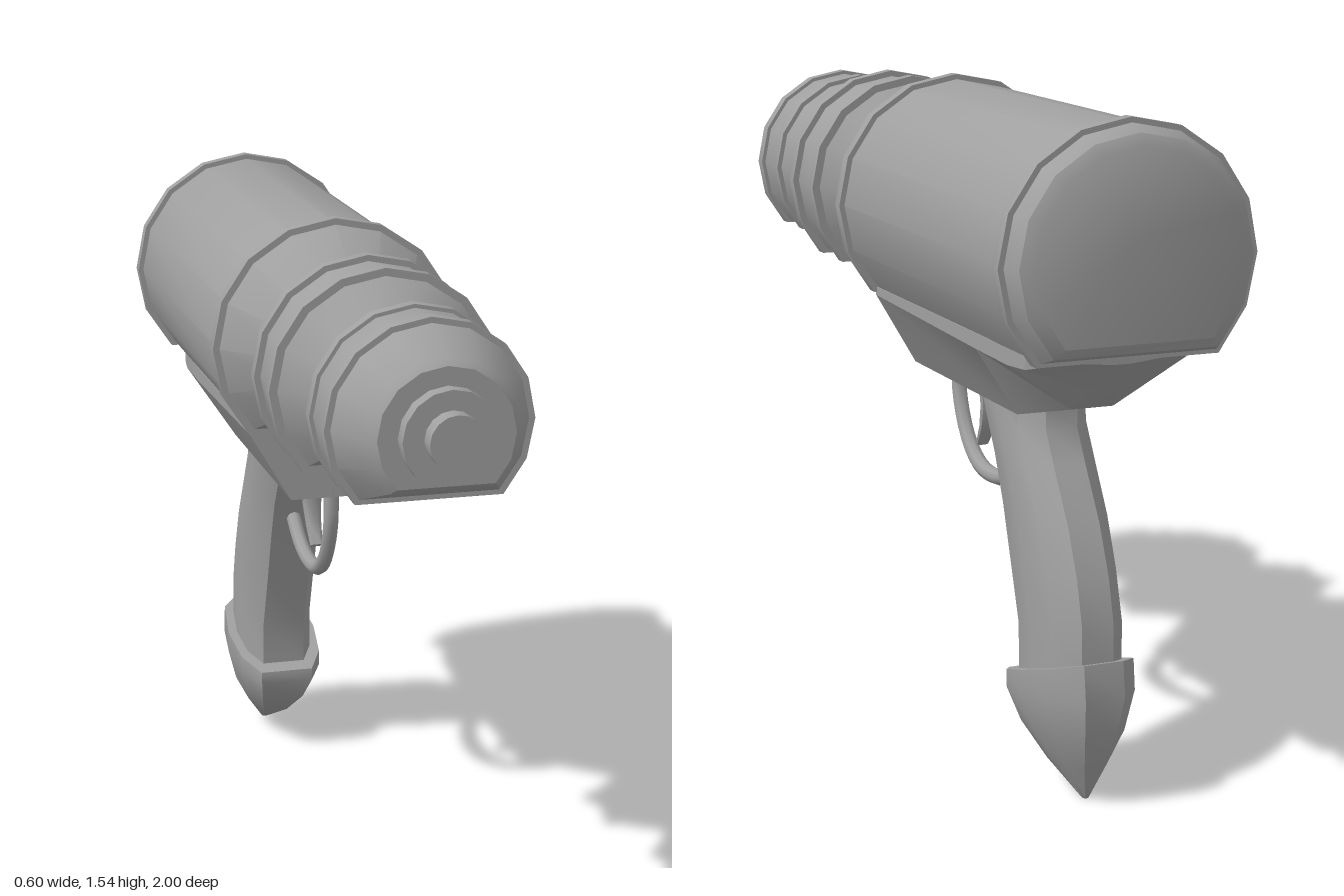
import * as THREE from 'three';
import { toCreasedNormals } from 'three/addons/utils/BufferGeometryUtils.js';

const V = (x, y, z) => new THREE.Vector3(x, y, z);

// Skin a closed, capped solid over rings that all have the same point count
function loft(rings, crease) {
  const tris = [];
  const n = rings[0].length;
  for (let i = 0; i < rings.length - 1; i++) {
    for (let j = 0; j < n; j++) {
      const k = (j + 1) % n;
      const a = rings[i][j], b = rings[i][k], c = rings[i + 1][k], d = rings[i + 1][j];
      tris.push([a, b, c], [a, c, d]);
    }
  }
  const cap = (ring, flip) => {
    const mid = ring.reduce((s, p) => s.add(p), V(0, 0, 0)).divideScalar(n);
    ring.forEach((p, j) => {
      const q = ring[(j + 1) % n];
      tris.push(flip ? [mid, q, p] : [mid, p, q]);
    });
  };
  cap(rings[0], true);
  cap(rings[rings.length - 1], false);
  // Turn the surface outwards if its signed volume is negative
  const volume = tris.reduce((s, [a, b, c]) => s + a.dot(b.clone().cross(c)), 0);
  if (volume < 0) tris.forEach((t) => t.reverse());
  const geometry = new THREE.BufferGeometry().setFromPoints(tris.flat());
  return toCreasedNormals(geometry, crease);
}

// Sixteen-sided ring with the bottom cut off flat
function barrelRing([z, r]) {
  const cy = 1.268 - 0.065 * r;
  return Array.from({ length: 13 }, (_, i) => {
    const a = -Math.PI / 4 + (i * Math.PI) / 8;
    return V(r * Math.cos(a), cy + r * Math.sin(a), z);
  });
}

// Grip section between a front point and a back point, given half width w
const SECTION = [[0, 0.58], [0.2, 0.9], [0.5, 1], [0.82, 0.88], [1, 0.4]];
function gripRing([fz, fy, bz, by, w]) {
  const side = (s) => SECTION.map(([t, k]) => V(s * k * w, fy + (by - fy) * t, fz + (bz - fz) * t));
  return [...side(1), ...side(-1).reverse()];
}

export function createModel() {
  const model = new THREE.Group();
  const grey = new THREE.MeshStandardMaterial({ color: 0xa0a0a0 });
  grey.name = 'grey';
  const add = (name, geometry) => {
    const mesh = new THREE.Mesh(geometry, grey);
    mesh.name = name;
    model.add(mesh);
    return mesh;
  };
  const barrel = (name, stations) => add(name, loft(stations.map(barrelRing), 0.6));

  // Main body with rounded rear and tapered front
  barrel('mainBody', [[-1, 0.24], [-0.985, 0.268], [-0.95, 0.285], [0.02, 0.285], [0.19, 0.168]]);
  // Two bulging barrel chambers and the emitter
  barrel('rearChamber', [[0.19, 0.168], [0.285, 0.25], [0.45, 0.25], [0.545, 0.168]]);
  barrel('frontChamber', [[0.545, 0.168], [0.655, 0.222], [0.795, 0.222], [0.91, 0.165], [0.925, 0.15]]);
  barrel('emitterDisc', [[0.92, 0.106], [0.96, 0.106]]);
  barrel('emitterTip', [[0.95, 0.06], [1, 0.06]]);
  // Raised bands
  [[-0.945, 0.298], [-0.005, 0.298], [0.28, 0.265], [0.425, 0.265], [0.65, 0.231], [0.775, 0.231]]
    .forEach(([z, r]) => barrel('band', [[z, r], [z + 0.03, r]]));

  // Wedge-shaped receiver: z, top half width, lip y, bottom half width, bottom y
  const receiver = [
    [0, 0.205, 1.03, 0.105, 0.86],
    [-0.61, 0.205, 1.015, 0.105, 0.86],
    [-0.77, 0.2, 1.01, 0.05, 0.9],
    [-0.84, 0.19, 1.012, 0.035, 0.955],
    [-0.92, 0.12, 1.035, 0.02, 1.025],
  ].map(([z, w, lip, bw, by]) => [
    V(w, 1.05, z), V(w, lip, z), V(bw, by, z), V(-bw, by, z), V(-w, lip, z), V(-w, 1.05, z),
  ]);
  add('receiver', loft(receiver, 0.5));

  // Curved grip: front z, front y, back z, back y, half width
  add('grip', loft([
    [-0.29, 0.88, -0.615, 0.88, 0.095],
    [-0.33, 0.82, -0.615, 0.82, 0.095],
    [-0.385, 0.73, -0.66, 0.745, 0.095],
    [-0.425, 0.63, -0.735, 0.63, 0.095],
    [-0.465, 0.51, -0.785, 0.52, 0.095],
    [-0.52, 0.36, -0.813, 0.42, 0.095],
    [-0.525, 0.24, -0.815, 0.3, 0.095],
  ].map(gripRing), 0.7));

  // Pointed pommel with a tilted rim
  add('pommel', loft([
    [-0.487, 0.235, -0.845, 0.345, 0.118],
    [-0.485, 0.205, -0.856, 0.265, 0.118],
    [-0.535, 0.14, -0.835, 0.165, 0.095],
    [-0.625, 0.07, -0.8, 0.085, 0.055],
    [-0.745, 0.008, -0.765, 0.005, 0.008],
  ].map(gripRing), 0.75));

  // Trigger guard
  const guardPath = new THREE.CatmullRomCurve3([
    [-0.018, 0.88], [-0.025, 0.78], [-0.075, 0.685], [-0.15, 0.632],
    [-0.24, 0.622], [-0.33, 0.642], [-0.43, 0.705],
  ].map(([z, y]) => V(0, y, z)));
  add('triggerGuard', new THREE.TubeGeometry(guardPath, 20, 0.019, 8));

  // Trigger: centre line tapering towards the hooked tip
  add('trigger', loft([
    [-0.188, 0.88, -0.225, 0.88, 0.03],
    [-0.2, 0.79, -0.225, 0.78, 0.024],
    [-0.185, 0.735, -0.205, 0.73, 0.02],
    [-0.16, 0.69, -0.17, 0.682, 0.016],
  ].map(gripRing), 0.7));

  return model;
}
